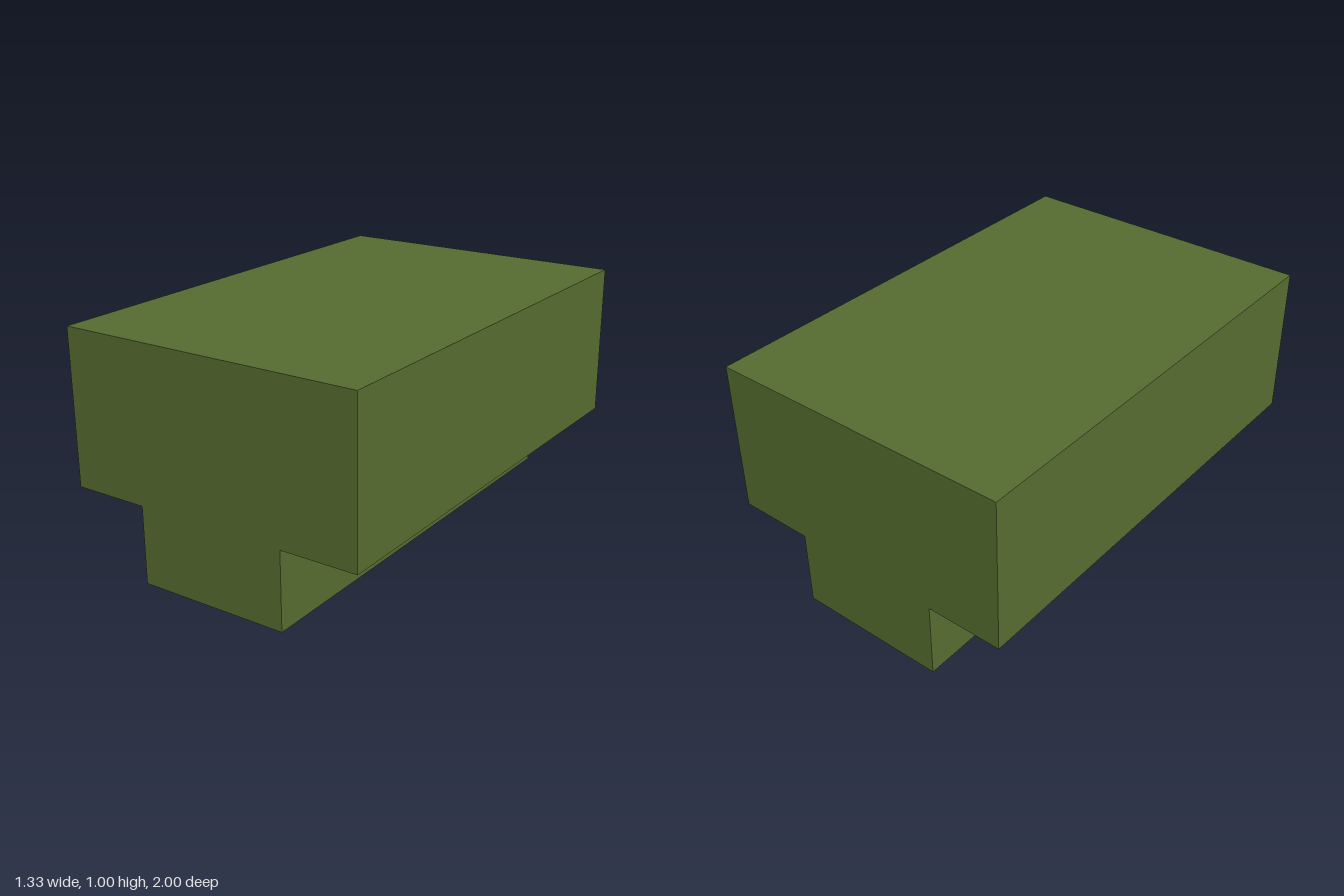
import * as THREE from 'three';

export function createModel() {
  const group = new THREE.Group();
  group.name = 'tBlock';

  // T-shaped cross-section: wide upper body over a narrow foot
  const wide = 2 / 3, narrow = 1 / 3, step = 1 / 3, top = 1, length = 2;
  const half = [[narrow, 0], [narrow, step], [wide, step], [wide, top]];
  const mirrored = half.map(([x, y]) => [-x, y]).reverse();
  const profile = new THREE.Shape(
    [...half, ...mirrored].map(([x, y]) => new THREE.Vector2(x, y))
  );

  // Extruded front to back and centred on z
  const geometry = new THREE.ExtrudeGeometry(profile, { depth: length, bevelEnabled: false });
  geometry.translate(0, 0, -length / 2);

  const body = new THREE.Mesh(
    geometry,
    new THREE.MeshStandardMaterial({ color: 0x556b2f })
  );
  body.name = 'body';
  group.add(body);
  return group;
}
